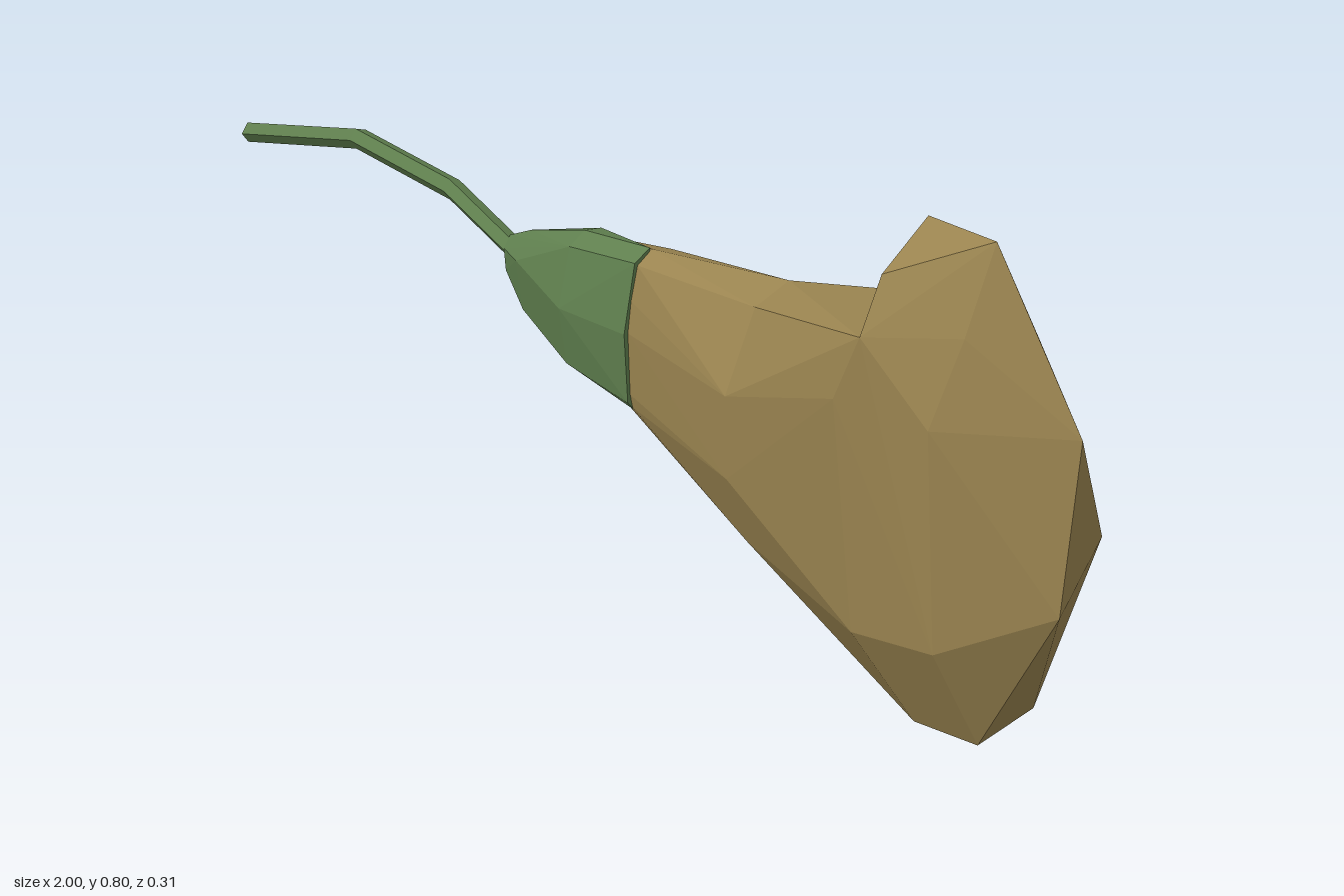
import * as THREE from 'three';
import { ConvexGeometry } from 'three/addons/geometries/ConvexGeometry.js';

const petalBrown = new THREE.MeshStandardMaterial({ color: 0x9a8450 });
petalBrown.name = 'petalBrown';
const leafGreen = new THREE.MeshStandardMaterial({ color: 0x5f7f4e });
leafGreen.name = 'leafGreen';

// Place a cross-section of [y, z] corners at a given x
const ring = (x, corners) => corners.map(([y, z]) => [x, y, z]);

// Faceted solid wrapped around a few corner points
function facetedPart(name, points, material) {
  const geometry = new ConvexGeometry(points.map((p) => new THREE.Vector3(...p)));
  const mesh = new THREE.Mesh(geometry, material);
  mesh.name = name;
  return mesh;
}

// Five-sided bent stalk: cylinder rows moved onto the path points
function makeStem() {
  const path = [[-1, 0.449, -0.005], [-0.68, 0.525, -0.004], [-0.43, 0.503, -0.008], [-0.25, 0.44, -0.004]];
  const rows = path.length - 1;
  const geometry = new THREE.CylinderGeometry(0.019, 0.019, 1, 5, rows).rotateZ(Math.PI / 2);
  const pos = geometry.attributes.position;
  for (let i = 0; i < pos.count; i++) {
    const [x, y, z] = path[Math.round((pos.getX(i) + 0.5) * rows)];
    pos.setXYZ(i, x, pos.getY(i) + y, pos.getZ(i) + z);
  }
  const flat = geometry.toNonIndexed();
  flat.computeVertexNormals();
  const mesh = new THREE.Mesh(flat, leafGreen);
  mesh.name = 'stem';
  return mesh;
}

export function createModel() {
  const group = new THREE.Group();
  group.name = 'flowerBud';

  // Section shared by the neck and the bell
  const waist = ring(0.36, [
    [0.575, -0.03], [0.55, 0.04], [0.42, 0.1], [0.28, 0.095], [0.16, 0.05],
    [0.138, -0.02], [0.25, -0.1], [0.42, -0.12], [0.53, -0.1],
  ]);

  // Narrow neck of the flower, tucked into the cap
  const neck = [
    ...ring(-0.06, [[0.52, -0.035], [0.46, -0.045], [0.36, -0.045], [0.3, -0.02], [0.33, 0.02], [0.5, 0.015]]),
    ...ring(0.08, [
      [0.55, 0], [0.53, 0.03], [0.42, 0.05], [0.29, 0.04], [0.245, 0],
      [0.3, -0.055], [0.48, -0.065], [0.54, -0.04],
    ]),
    ...waist,
  ];

  // Corners where the upper lobe joins the bell
  const notchBack = [0.6, 0.63, -0.04];
  const notchFront = [0.7, 0.642, 0.156];
  const seam = [
    notchBack, notchFront,
    [0.82, 0.53, 0.135], [1, 0.54, 0.01], [0.8, 0.6, -0.11], [0.66, 0.56, -0.13],
  ];

  // Wide bell
  const bell = [
    ...waist, ...seam,
    [0.65, 0.53, 0.157], [0.68, 0.158, 0.138], [0.84, 0.18, 0.13],
    [0.74, 0.005, 0.06], [0.74, 0.005, -0.05], [0.86, 0.01, 0.048], [0.86, 0.03, -0.07],
    [0.7, 0.16, -0.139], [0.64, 0.38, -0.158], [0.78, 0.38, -0.155],
    [1, 0.27, 0.04], [0.98, 0.36, -0.065],
  ];

  // Raised lobe behind the notch
  const lobe = [
    ...seam,
    [0.68, 0.783, 0.003], [0.7, 0.728, 0.115], [0.845, 0.8, 0.035],
    [0.84, 0.665, 0.088], [0.8, 0.7, -0.035],
  ];

  // Green cap, reaching further along the front than along the back
  const cap = [
    ...ring(-0.27, [[0.47, 0], [0.45, 0.014], [0.41, 0.01], [0.41, -0.014], [0.45, -0.022]]),
    ...ring(-0.215, [[0.495, 0], [0.45, 0.034], [0.36, 0.02], [0.37, -0.025], [0.47, -0.035]]),
    ...ring(-0.07, [
      [0.54, 0.01], [0.52, 0.042], [0.42, 0.066], [0.32, 0.05], [0.3, 0.01],
      [0.37, -0.043], [0.46, -0.043], [0.535, -0.025],
    ]),
    ...ring(0.08, [[0.553, 0.004], [0.535, 0.036], [0.42, 0.058], [0.3, 0.05], [0.283, 0.035]]),
  ];

  group.add(
    facetedPart('flowerNeck', neck, petalBrown),
    facetedPart('flowerBell', bell, petalBrown),
    facetedPart('upperLobe', lobe, petalBrown),
    facetedPart('cap', cap, leafGreen),
    makeStem(),
  );
  return group;
}
